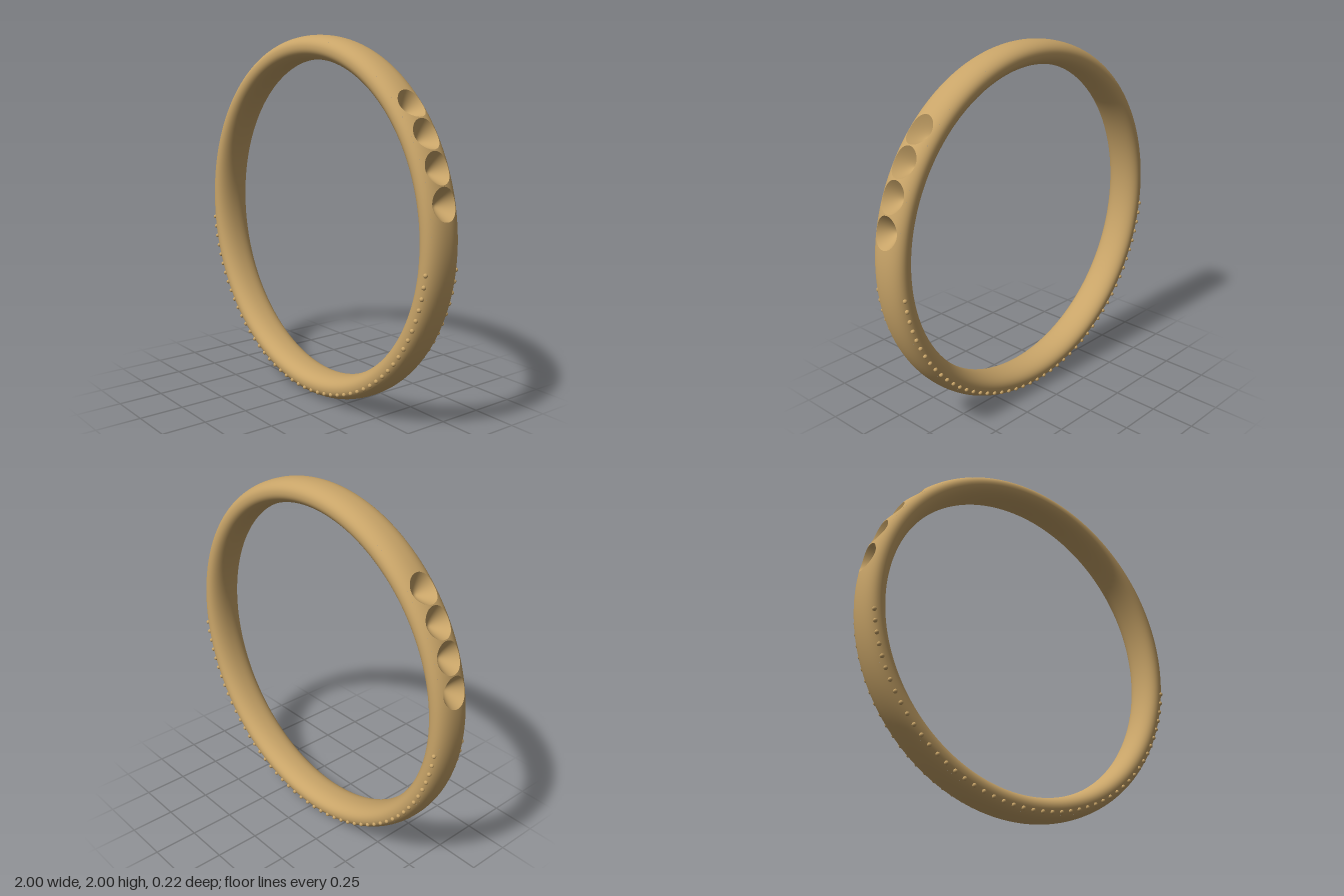
import * as THREE from 'three';
import { mergeGeometries } from 'three/addons/utils/BufferGeometryUtils.js';

const MID = 0.935, HALF_R = 0.065, HALF_Z = 0.104, POWER = 2.2; // rounded band section
const TILE_A = THREE.MathUtils.degToRad(5), TILE_Z = 0.085;     // patch holding one scoop
const deg = THREE.MathUtils.degToRad;

// Point or direction given in ring coordinates: angle, radial, tangential, z
const ringPoint = (a, r, z) => new THREE.Vector3(r * Math.cos(a), 1 + r * Math.sin(a), z);
const ringDir = (a, r, t, z) => new THREE.Vector3(
  r * Math.cos(a) - t * Math.sin(a), r * Math.sin(a) + t * Math.cos(a), z).normalize();

// Outer radius of the band at a given z
const outerR = z => MID + HALF_R * Math.pow(1 - Math.pow(Math.abs(z) / HALF_Z, POWER), 1 / POWER);

// Band surface at radius r, with its normal
function bandSample(a, r, z) {
  const slope = (v, h) => Math.sign(v) * Math.pow(Math.abs(v) / h, POWER - 1) / h;
  return [ringPoint(a, r, z), ringDir(a, slope(r - MID, HALF_R), 0, slope(z, HALF_Z))];
}

// Smooth grid surface; sample(u, v) returns position and outward normal
function surface(nu, nv, sample) {
  const points = [], normals = [], pos = [], nor = [], index = [];
  for (let i = 0; i <= nu; i++) for (let j = 0; j <= nv; j++) {
    const [p, n] = sample(i / nu, j / nv);
    points.push(p); normals.push(n);
    pos.push(p.x, p.y, p.z); nor.push(n.x, n.y, n.z);
  }
  const e1 = new THREE.Vector3(), e2 = new THREE.Vector3();
  const face = (a, b, c) => {
    e1.subVectors(points[b], points[a]);
    e2.subVectors(points[c], points[a]);
    const out = e1.cross(e2).dot(normals[a].clone().add(normals[b]).add(normals[c])) >= 0;
    index.push(a, ...(out ? [b, c] : [c, b]));
  };
  for (let i = 0; i < nu; i++) for (let j = 0; j < nv; j++) {
    const a = i * (nv + 1) + j, b = a + nv + 1;
    face(a, b, b + 1);
    face(a, b + 1, a + 1);
  }
  const g = new THREE.BufferGeometry();
  g.setAttribute('position', new THREE.Float32BufferAttribute(pos, 3));
  g.setAttribute('normal', new THREE.Float32BufferAttribute(nor, 3));
  g.setIndex(index);
  return g;
}

// Scoop: height of its wall at distance rho from the axis
const scoopR = rho => 0.915 + 0.085 * Math.pow(rho / 0.084, 1.6);
const scoopSlope = rho => 1.6 * 0.085 / 0.084 * Math.pow(rho / 0.084, 0.6);

// Point on the patch border, in arc length and z
function tileEdge(u) {
  const c = Math.cos(u * 2 * Math.PI), s = Math.sin(u * 2 * Math.PI);
  const m = Math.max(Math.abs(c), Math.abs(s));
  return [c / m * TILE_A, s / m * TILE_Z];
}

// Fraction of the way to the patch border where the scoop meets the band
function rimAt([s, z]) {
  let lo = 0, hi = 1;
  for (let k = 0; k < 30; k++) {
    const f = (lo + hi) / 2;
    if (scoopR(f * Math.hypot(s, z)) < outerR(f * z)) lo = f; else hi = f;
  }
  return lo;
}

export function createModel() {
  const model = new THREE.Group();
  const gold = new THREE.MeshStandardMaterial({ color: 0xc8a468 });
  const add = (name, geometry) => {
    const mesh = new THREE.Mesh(geometry, gold);
    mesh.name = name;
    model.add(mesh);
  };

  const scoopAngles = [];
  for (let i = 0; i < 4; i++) {
    const a = deg(12.4 + 10 * i);
    scoopAngles.push(a, Math.PI - a);
  }

  // Band: sides and inner face all round, then the plain stretches of the outer face
  const pow = v => Math.sign(v) * Math.pow(Math.abs(v), 2 / POWER);
  const t0 = Math.asin(Math.pow((outerR(TILE_Z) - MID) / HALF_R, POWER / 2));
  const parts = [surface(216, 40, (u, v) => {
    const t = t0 - v * (Math.PI + 2 * t0);
    return bandSample(u * 2 * Math.PI, MID + HALF_R * pow(Math.sin(t)), HALF_Z * pow(Math.cos(t)));
  })];
  for (const [from, to, n] of [[47.4, 132.6, 52], [172.6, 367.4, 117]]) {
    parts.push(surface(n, 16, (u, v) => {
      const z = (2 * v - 1) * TILE_Z;
      return bandSample(deg(from + (to - from) * u), outerR(z), z);
    }));
  }
  // Band around each scoop, from the rim to the patch border
  for (const a of scoopAngles) {
    parts.push(surface(64, 4, (u, v) => {
      const edge = tileEdge(u), f = THREE.MathUtils.lerp(rimAt(edge), 1, v);
      return bandSample(a + f * edge[0], outerR(f * edge[1]), f * edge[1]);
    }));
  }
  add('band', mergeGeometries(parts));

  // Scoops: four hollows on each shoulder
  for (const a of scoopAngles) {
    add('shoulderScoop', surface(64, 8, (u, v) => {
      const edge = tileEdge(u), f = rimAt(edge) * v;
      const s = f * edge[0], z = f * edge[1], len = Math.hypot(...edge);
      const slope = scoopSlope(f * len);
      return [ringPoint(a + s, scoopR(f * len), z),
        ringDir(a + s, 1, -slope * edge[0] / len, -slope * edge[1] / len)];
    }));
  }

  // Beads: a row along the lower half of each side
  const bead = new THREE.SphereGeometry(0.0115, 14, 10);
  for (const [side, name] of [[1, 'frontBeads'], [-1, 'backBeads']]) {
    const row = [];
    for (let i = 0; i < 47; i++) {
      const p = ringPoint(deg(-173.1 + 166.2 * i / 46), 0.96, side * 0.1);
      row.push(bead.clone().translate(p.x, p.y, p.z));
    }
    add(name, mergeGeometries(row));
  }
  return model;
}
